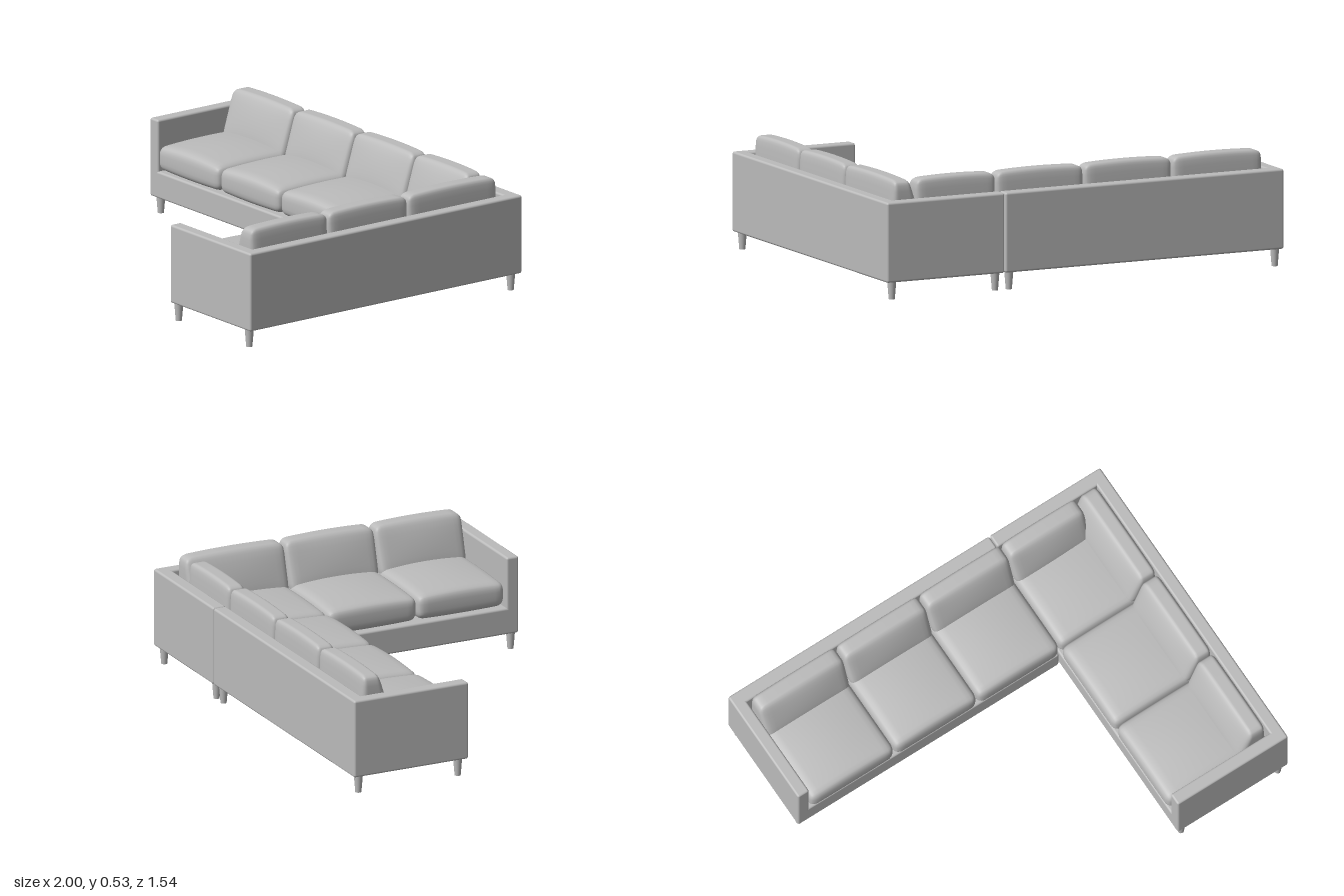
import * as THREE from 'three';
import { mergeVertices } from 'three/addons/utils/BufferGeometryUtils.js';
import { RoundedBoxGeometry } from 'three/addons/geometries/RoundedBoxGeometry.js';

const fabric = new THREE.MeshStandardMaterial({ color: 0xbbbbbb });
fabric.name = 'grey fabric';

// Rounded box whose vertices are then moved by a rule(point, u, v, w), with u, v, w in -1..1
function softBox(w, h, d, r, rule) {
  let geo = new THREE.BoxGeometry(2, 2, 2, 18, 10, 18);
  geo.deleteAttribute('uv');
  geo.deleteAttribute('normal');
  geo = mergeVertices(geo, 1e-4);
  const half = new THREE.Vector3(w / 2, h / 2, d / 2);
  const inner = half.clone().subScalar(r);
  const low = inner.clone().negate();
  const pos = geo.attributes.position;
  const p = new THREE.Vector3(), core = new THREE.Vector3();
  const ease = (t) => Math.sin(t * Math.PI / 2); // more vertices near the edges
  for (let i = 0; i < pos.count; i++) {
    p.fromBufferAttribute(pos, i);
    p.set(ease(p.x), ease(p.y), ease(p.z)).multiply(half);
    core.copy(p).clamp(low, inner);
    p.sub(core).setLength(r).add(core);
    rule(p, p.x / half.x, p.y / half.y, p.z / half.z);
    pos.setXYZ(i, p.x, p.y, p.z);
  }
  geo.computeVertexNormals();
  return geo;
}

export function createModel() {
  const sofa = new THREE.Group();
  sofa.name = 'cornerSofa';

  const add = (name, geo, x, y, z, turn = 0) => {
    const mesh = new THREE.Mesh(geo, fabric);
    mesh.name = name;
    mesh.position.set(x, y, z);
    mesh.rotation.y = turn;
    sofa.add(mesh);
  };

  // Panel given by its limits on each axis
  const panel = (name, x0, x1, y0, y1, z0, z1) =>
    add(name, new RoundedBoxGeometry(x1 - x0, y1 - y0, z1 - z0, 3, 0.01),
      (x0 + x1) / 2, (y0 + y1) / 2, (z0 + z1) / 2);

  // Seat cushion with a crowned top and bottom
  const seat = (x0, x1, z0, z1) => {
    const geo = softBox(x1 - x0, 0.11, z1 - z0, 0.035, (p, u, v, w) => {
      const crown = (1 - u * u) * (1 - 0.5 * w * w) + 0.35 * (1 - w * w);
      p.y += v * crown * (v > 0 ? 0.02 : 0.01);
    });
    add('seatCushion', geo, (x0 + x1) / 2, 0.272, (z0 + z1) / 2);
  };

  // Back cushion: a wedge that is thick at the seat and thin at the top
  const backCushion = (length, x, z, turn) => {
    const geo = softBox(length, 0.23, 0.17, 0.035, (p, u, v, w) => {
      const t = (v + 1) / 2;
      const front = (w + 1) / 2;
      p.z -= 0.075 * t * front;
      p.z += 0.012 * (1 - front) * t;
      p.z += 0.012 * front * (1 - u * u) * (1 - v * v);
      p.y += 0.007 * t * (1 - u * u);
    });
    add('backCushion', geo, x, 0.409, z, turn);
  };

  // Long section: base, back and end arm
  const seam = 0.405;
  panel('longBase', -0.96, seam - 0.002, 0.08, 0.205, -0.75, -0.195);
  panel('longBack', -1, seam - 0.002, 0.08, 0.445, -0.77, -0.705);
  panel('longArm', -1, -0.94, 0.08, 0.445, -0.77, -0.195);

  // Return section: base, backs along two sides and end arm
  panel('returnBase', seam + 0.002, 0.98, 0.08, 0.205, -0.75, 0.75);
  panel('cornerBack', seam + 0.002, 1, 0.08, 0.445, -0.77, -0.705);
  panel('returnBack', 0.94, 1, 0.08, 0.445, -0.77, 0.77);
  panel('returnArm', seam + 0.002, 1, 0.08, 0.445, 0.71, 0.77);

  // Cushions of the long section, including the corner seat
  const xs = [-0.935, -0.48, -0.035, 0.408];
  for (let i = 0; i < 3; i++) {
    seat(xs[i], xs[i + 1] - 0.003, -0.7, -0.185);
    backCushion(xs[i + 1] - xs[i] - 0.006, (xs[i] + xs[i + 1]) / 2, -0.617, 0);
  }
  seat(0.408, 0.935, -0.7, -0.188);
  backCushion(0.4, 0.61, -0.617, 0);

  // Cushions of the return section
  const zs = [-0.69, -0.187, 0.265, 0.705];
  for (let i = 0; i < 3; i++) {
    if (i > 0) seat(0.403, 0.935, zs[i], zs[i + 1] - 0.003);
    backCushion(zs[i + 1] - zs[i] - 0.005, 0.85, (zs[i] + zs[i + 1]) / 2, -Math.PI / 2);
  }

  // Tapered legs, four under each section
  const legGeo = new THREE.CylinderGeometry(0.021, 0.014, 0.085, 20);
  const legs = [
    [-0.97, -0.735], [-0.97, -0.235], [0.37, -0.735], [0.37, -0.235],
    [0.44, -0.735], [0.96, -0.735], [0.44, 0.745], [0.96, 0.745],
  ];
  for (const [x, z] of legs) add('leg', legGeo, x, 0.0425, z);

  return sofa;
}
